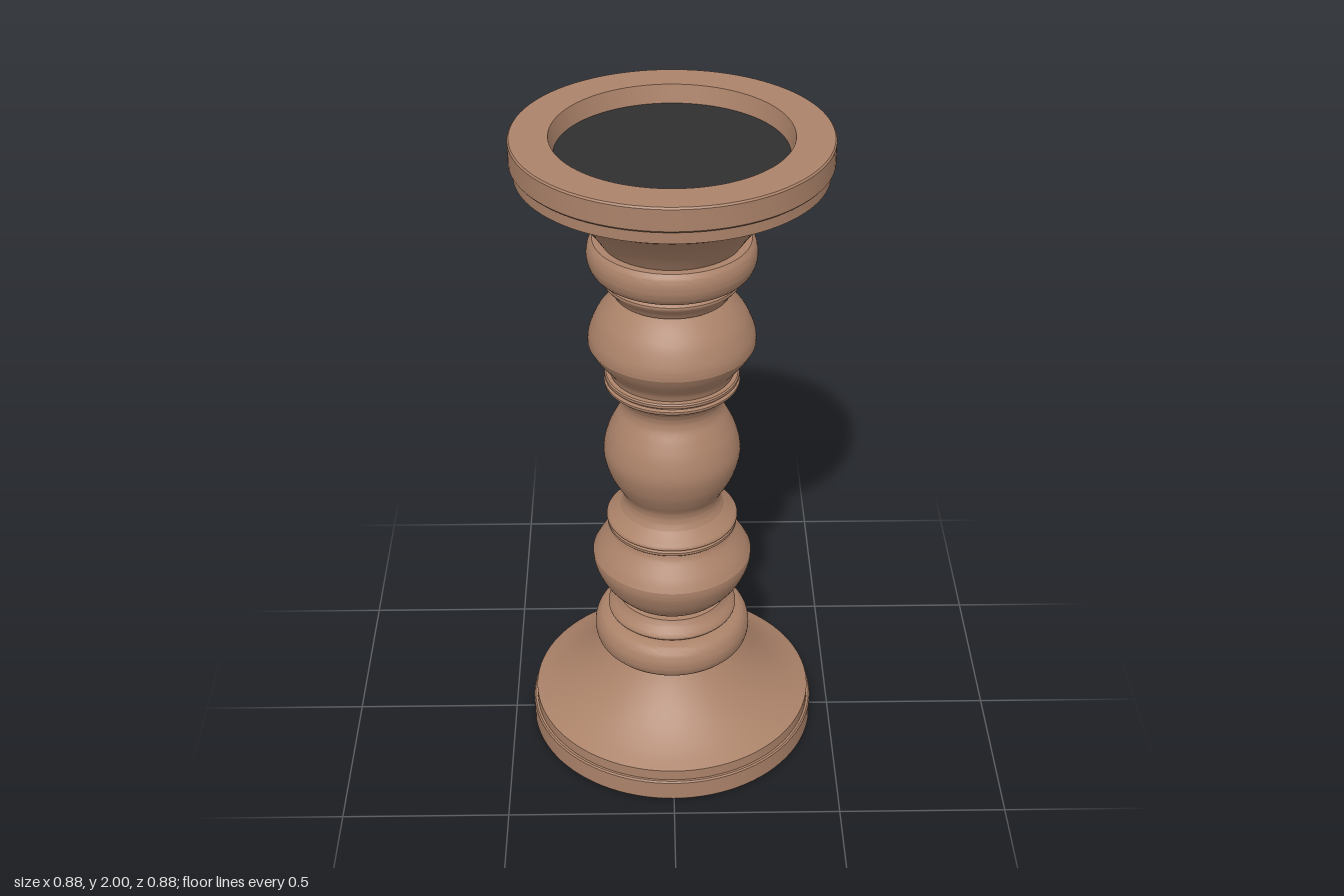
import * as THREE from 'three';
import { toCreasedNormals } from 'three/addons/utils/BufferGeometryUtils.js';

const SEGMENTS = 96;

// Smooth profile through [radius, y] points
const curve = (pts, n = 16) =>
  new THREE.SplineCurve(pts.map(([r, y]) => new THREE.Vector2(r, y))).getPoints(n);

// Straight-edged profile
const line = (pts) => pts.map(([r, y]) => new THREE.Vector2(r, y));

// Same profile turned upside down about the middle of the column
const flip = (pts) => pts.map((p) => new THREE.Vector2(p.x, 2 - p.y)).reverse();

export function createModel() {
  const model = new THREE.Group();
  const wood = new THREE.MeshStandardMaterial({ color: 0xab8269 });
  wood.name = 'warm brown wood';
  const dark = new THREE.MeshStandardMaterial({ color: 0x2f2f2f });
  dark.name = 'dark plate';

  const turn = (name, pts) => {
    const geometry = toCreasedNormals(new THREE.LatheGeometry(pts, SEGMENTS), 0.55);
    const mesh = new THREE.Mesh(geometry, wood);
    mesh.name = name;
    model.add(mesh);
  };

  // Lower half of the column; each part is repeated upside down above
  const parts = {
    // hollowed foot with a stepped edge
    Rim: line([
      [0, 0.055], [0.32, 0.055], [0.332, 0], [0.437, 0], [0.441, 0.005],
      [0.441, 0.066], [0.437, 0.071], [0.43, 0.071], [0.43, 0.106],
    ]),
    Flare: curve([
      [0.43, 0.106], [0.375, 0.133], [0.32, 0.17], [0.27, 0.215], [0.23, 0.262], [0.2, 0.306],
    ], 24),
    Cushion: [
      ...line([[0.2, 0.306]]),
      ...curve([
        [0.222, 0.306], [0.234, 0.322], [0.239, 0.35], [0.234, 0.378],
        [0.22, 0.4], [0.195, 0.411], [0.18, 0.414],
      ], 24),
    ],
    Collar: [
      ...line([[0.18, 0.414], [0.19, 0.418]]),
      ...curve([[0.196, 0.424], [0.196, 0.432], [0.186, 0.445], [0.173, 0.46], [0.165, 0.475]], 12),
      ...line([[0.148, 0.477]]),
    ],
    BulbBase: curve([
      [0.148, 0.477], [0.176, 0.5], [0.21, 0.54], [0.23, 0.58], [0.239, 0.61], [0.24, 0.633],
    ], 20),
    BulbShoulder: curve([
      [0.24, 0.633], [0.225, 0.66], [0.204, 0.688], [0.186, 0.712], [0.178, 0.734],
    ], 14),
    Bead: [
      ...line([[0.178, 0.734], [0.19, 0.736]]),
      ...curve([[0.194, 0.74], [0.194, 0.748], [0.187, 0.752]], 6),
      ...curve([[0.187, 0.755], [0.196, 0.759], [0.194, 0.768], [0.175, 0.783], [0.155, 0.8]], 12),
    ],
  };

  for (const [name, pts] of Object.entries(parts)) {
    turn('lower' + name, pts);
    turn('upper' + name, flip(pts));
  }

  // Round middle of the column, with a waist at each end
  const half = [[0.155, 0.8], [0.144, 0.825], [0.147, 0.855], [0.168, 0.892], [0.19, 0.94]];
  const mirrored = half.map(([r, y]) => [r, 2 - y]).reverse();
  turn('middleBulb', curve([...half, [0.202, 1], ...mirrored], 44));

  // Dark plate in the floor of the cup
  const plate = new THREE.Mesh(new THREE.CircleGeometry(0.32, SEGMENTS), dark);
  plate.name = 'candlePlate';
  plate.rotation.x = -Math.PI / 2;
  plate.position.y = 1.948;
  model.add(plate);

  return model;
}
